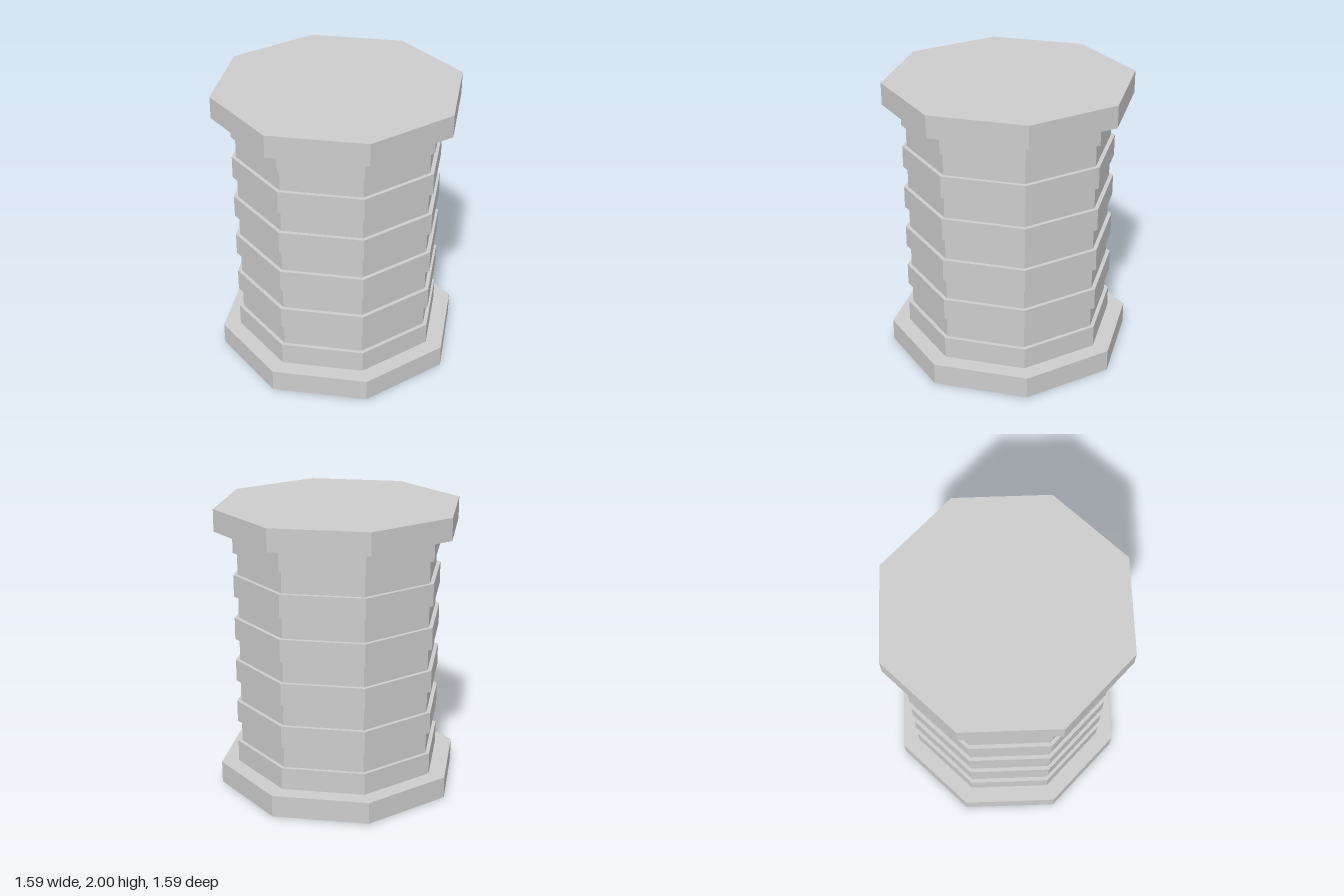
import * as THREE from 'three';

export function createModel() {
  const model = new THREE.Group();
  model.name = 'ribbedColumn';
  const grey = new THREE.MeshStandardMaterial({ color: 0xcccccc });
  grey.name = 'light grey';
  grey.flatShading = true;

  const layers = 13;
  const height = 2 / layers;

  // One octagonal slab with a flat side facing the front
  function slab(name, apothem, index) {
    const radius = apothem / Math.cos(Math.PI / 8);
    const geometry = new THREE.CylinderGeometry(radius, radius, height, 8);
    geometry.rotateY(Math.PI / 8);
    const mesh = new THREE.Mesh(geometry, grey);
    mesh.name = name;
    mesh.position.y = (index + 0.5) * height;
    model.add(mesh);
  }

  // Wide end plates, with alternating ribs and grooves between them
  slab('basePlate', 0.796, 0);
  for (let i = 1; i < layers - 1; i++) {
    if (i % 2) slab('rib' + i, 0.682, i);
    else slab('groove' + i, 0.655, i);
  }
  slab('topPlate', 0.796, layers - 1);

  return model;
}
